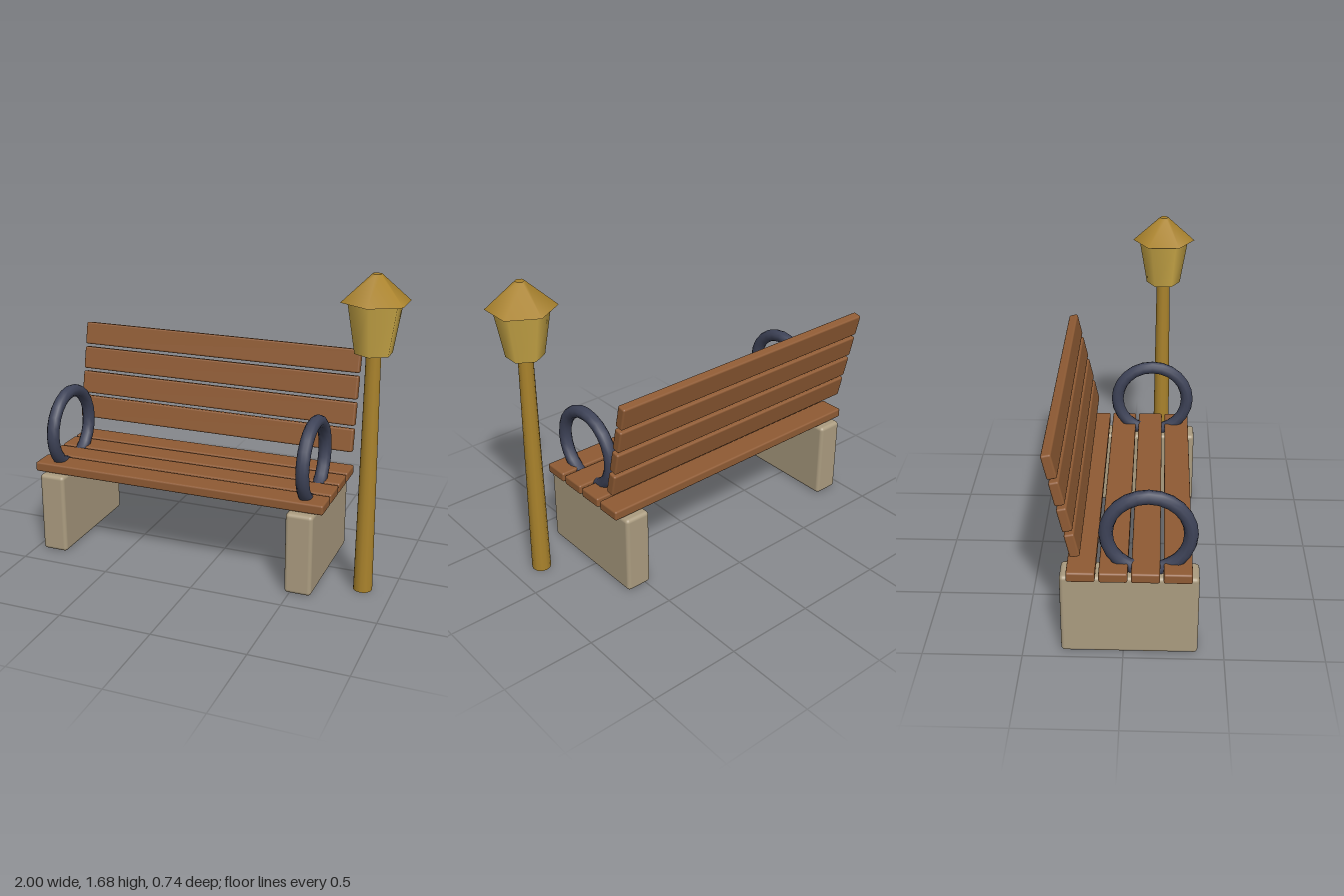
import * as THREE from 'three';
import { RoundedBoxGeometry } from 'three/addons/geometries/RoundedBoxGeometry.js';

const paint = (name, color) => {
  const m = new THREE.MeshStandardMaterial({ color });
  m.name = name;
  return m;
};

export function createModel() {
  const wood = paint('wood', 0x8f5b34);
  const stone = paint('stone', 0xab9c80);
  const iron = paint('iron', 0x3e4358);
  const brass = paint('brass', 0xaa832c);
  const glow = paint('lampGlass', 0xd0ad4a);

  const model = new THREE.Group();
  model.name = 'parkBenchWithLamp';
  const bench = new THREE.Group();
  bench.name = 'bench';
  bench.position.x = -0.17;
  const lamp = new THREE.Group();
  lamp.name = 'lamp';
  lamp.position.set(0.845, 0, 0.175);
  model.add(bench, lamp);

  const add = (parent, name, geometry, material, x, y, z) => {
    const mesh = new THREE.Mesh(geometry, material);
    mesh.name = name;
    mesh.position.set(x, y, z);
    parent.add(mesh);
    return mesh;
  };

  // Seat and leaning backrest, four slats each
  const seatSlat = new RoundedBoxGeometry(1.66, 0.053, 0.139, 2, 0.01);
  const backSlat = new RoundedBoxGeometry(1.66, 0.128, 0.05, 2, 0.01);
  for (let i = 0; i < 4; i++) {
    add(bench, 'seatSlat', seatSlat, wood, 0, 0.478, 0.265 - i * 0.156);
    const slat = add(bench, 'backSlat', backSlat, wood, 0, 0.659 + i * 0.1413, -0.238 - i * 0.0313);
    slat.rotation.x = -0.218;
  }

  // Stone supports and ring armrests at both ends
  const support = new RoundedBoxGeometry(0.146, 0.45, 0.68, 3, 0.02);
  const ring = new THREE.TorusGeometry(0.205, 0.035, 10, 24).rotateY(Math.PI / 2);
  for (const side of [-1, 1]) {
    add(bench, 'support', support, stone, side * 0.714, 0.225, 0.03);
    add(bench, 'armrestRing', ring, iron, side * 0.714, 0.66, 0.12);
  }

  // Lamp: tapered post, hexagonal lantern and roof
  add(lamp, 'lampPost', new THREE.CylinderGeometry(0.038, 0.051, 1.29, 12), brass, 0, 0.645, 0);
  add(lamp, 'lantern', new THREE.CylinderGeometry(0.141, 0.097, 0.258, 6), glow, 0, 1.413, 0);
  add(lamp, 'lanternRoof', new THREE.CylinderGeometry(0.025, 0.177, 0.135, 6), brass, 0, 1.609, 0);

  return model;
}
